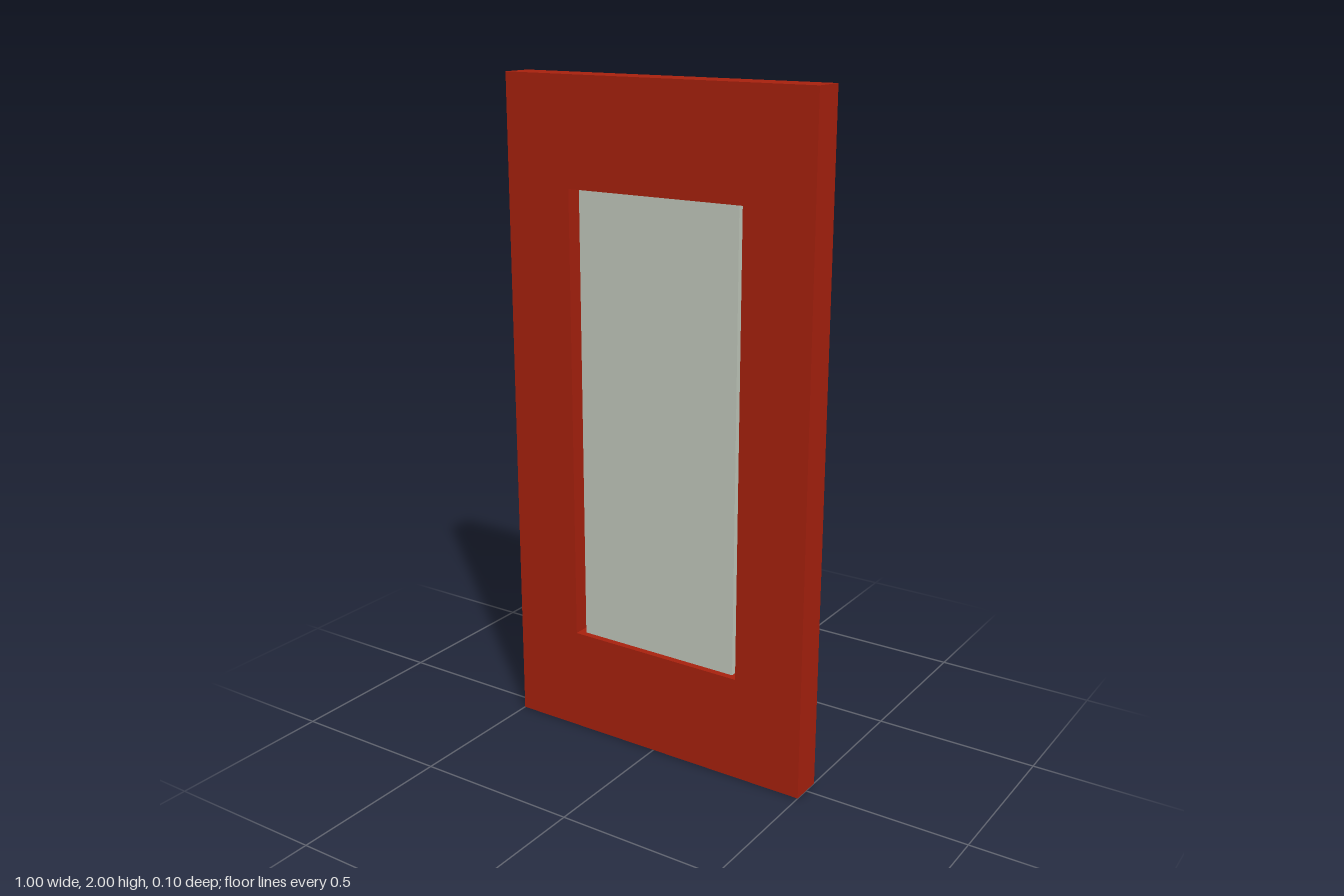
import * as THREE from 'three';

const WIDTH = 1, HEIGHT = 2, DEPTH = 0.1;
const HOLE_HALF = 0.285, HOLE_BOTTOM = 0.317, HOLE_TOP = 1.685;

export function createModel() {
  const red = new THREE.MeshStandardMaterial({ color: 0xaa210e });
  red.name = 'red paint';
  const grey = new THREE.MeshStandardMaterial({ color: 0xc4cbbf });
  grey.name = 'pale green glass';

  const group = new THREE.Group();
  group.name = 'door';

  // Door frame: a slab with one tall rectangular opening
  const outline = new THREE.Shape([
    new THREE.Vector2(-WIDTH / 2, 0), new THREE.Vector2(WIDTH / 2, 0),
    new THREE.Vector2(WIDTH / 2, HEIGHT), new THREE.Vector2(-WIDTH / 2, HEIGHT),
  ]);
  outline.holes.push(new THREE.Path([
    new THREE.Vector2(-HOLE_HALF, HOLE_BOTTOM), new THREE.Vector2(-HOLE_HALF, HOLE_TOP),
    new THREE.Vector2(HOLE_HALF, HOLE_TOP), new THREE.Vector2(HOLE_HALF, HOLE_BOTTOM),
  ]));
  const frameGeometry = new THREE.ExtrudeGeometry(outline, { depth: DEPTH, bevelEnabled: false });
  frameGeometry.translate(0, 0, -DEPTH / 2);
  const frame = new THREE.Mesh(frameGeometry, red);
  frame.name = 'doorFrame';
  group.add(frame);

  // Pane: recessed on both faces, with a narrow gap at each side
  const pane = new THREE.Mesh(new THREE.BoxGeometry(0.526, HOLE_TOP - HOLE_BOTTOM, 0.06), grey);
  pane.name = 'windowPane';
  pane.position.y = (HOLE_TOP + HOLE_BOTTOM) / 2;
  group.add(pane);

  return group;
}
